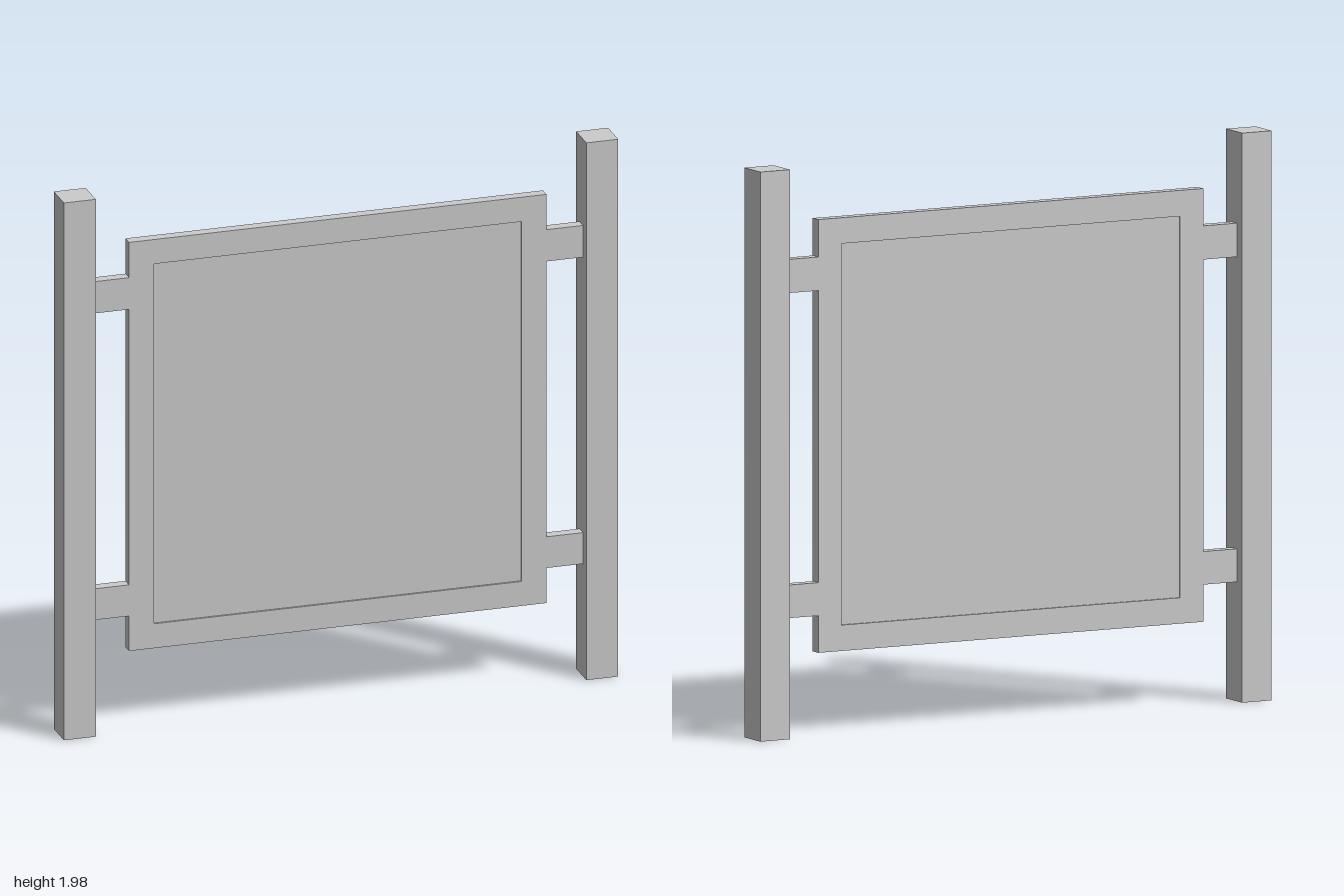
import * as THREE from 'three';

export function createModel() {
  const group = new THREE.Group();
  const material = new THREE.MeshStandardMaterial({ color: 0xcccccc, flatShading: true });

  const postWidth = 0.115, postHeight = 1.98;
  const half = 0.753, bottom = 0.286, top = 1.792; // frame outline
  const border = 0.09, thickness = 0.04, recess = 0.007;
  const tabs = [[0.415, 0.53], [1.545, 1.662]]; // y range of each mounting tab
  const tabEnd = 1 - postWidth;

  const add = (name, geometry, x, y, z) => {
    const mesh = new THREE.Mesh(geometry, material);
    mesh.name = name;
    mesh.position.set(x, y, z);
    group.add(mesh);
  };

  // Square posts at both sides
  for (const [name, side] of [['leftPost', 1], ['rightPost', -1]]) {
    add(name, new THREE.BoxGeometry(postWidth, postHeight, postWidth),
      side * (1 - postWidth / 2), postHeight / 2, 0);
  }

  // Frame with its mounting tabs, cut from one sheet
  const rightEdge = [[half, bottom]];
  for (const [y0, y1] of tabs) {
    rightEdge.push([half, y0], [tabEnd, y0], [tabEnd, y1], [half, y1]);
  }
  rightEdge.push([half, top]);
  const leftEdge = rightEdge.map(([x, y]) => [-x, y]).reverse();
  const outline = new THREE.Shape([...rightEdge, ...leftEdge].map(([x, y]) => new THREE.Vector2(x, y)));
  const inner = half - border;
  outline.holes.push(new THREE.Path([
    new THREE.Vector2(-inner, bottom + border),
    new THREE.Vector2(-inner, top - border),
    new THREE.Vector2(inner, top - border),
    new THREE.Vector2(inner, bottom + border),
  ]));
  add('frameWithTabs', new THREE.ExtrudeGeometry(outline, { depth: thickness, bevelEnabled: false }),
    0, 0, -thickness / 2);

  // Board recessed slightly on both faces
  add('boardPanel', new THREE.BoxGeometry(inner * 2, top - bottom - border * 2, thickness - recess * 2),
    0, (top + bottom) / 2, 0);

  return group;
}
